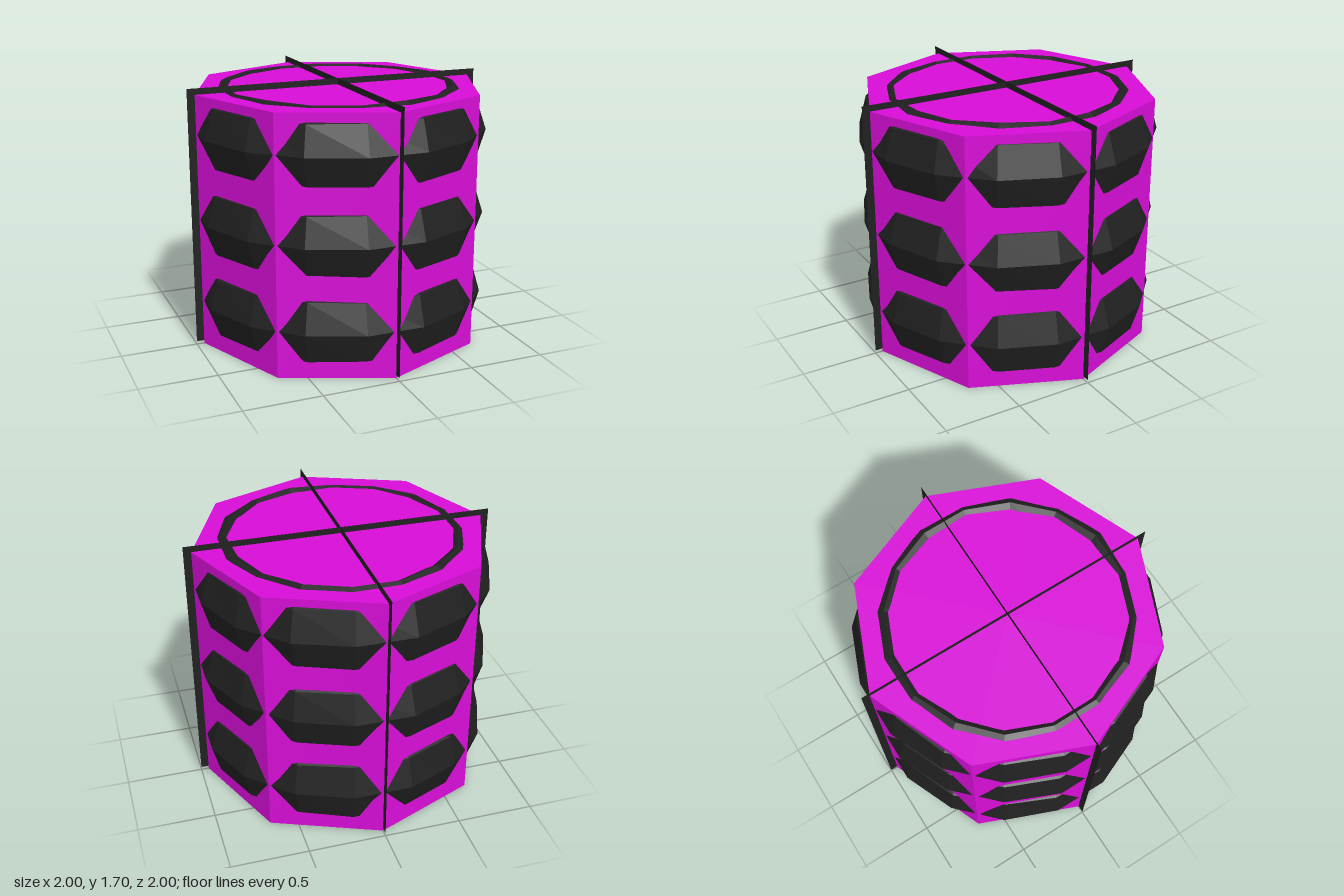
import * as THREE from 'three';

const SEGMENTS = 16;

// repeatable noise in -1..1
function makeNoise(seed) {
  let s = seed;
  return () => {
    s = (s * 16807) % 2147483647;
    return (s / 2147483647) * 2 - 1;
  };
}

// faceted, slightly uneven ring with an eight-sided section
function ringGeometry(seed) {
  const section = [
    [0.905, -0.19], [0.964, 0], [0.905, 0.19], [0.745, 0.268],
    [0.6, 0.19], [0.54, 0], [0.6, -0.19], [0.745, -0.268], [0.905, -0.19],
  ].map(([r, y]) => new THREE.Vector2(r, y));
  const geometry = new THREE.LatheGeometry(section, SEGMENTS, Math.PI / SEGMENTS);
  const count = section.length;
  const sides = count - 1;
  const noise = makeNoise(seed);
  const offsets = Array.from({ length: SEGMENTS * sides }, () => [noise(), noise()]);
  const position = geometry.attributes.position;
  for (let i = 0; i < position.count; i++) {
    // shared corners get the same offset so the ring stays closed
    const ring = Math.floor(i / count) % SEGMENTS;
    const side = (i % count) % sides;
    const [a, b] = offsets[ring * sides + side];
    const radial = 1 + a * (side === 1 ? 0.004 : 0.009);
    const lift = side === 1 ? 0 : b * 0.006;
    position.setXYZ(i, position.getX(i) * radial, position.getY(i) + lift, position.getZ(i) * radial);
  }
  const flat = geometry.toNonIndexed();
  flat.computeVertexNormals();
  return flat;
}

export function createModel() {
  const model = new THREE.Group();
  model.name = 'bandedDrum';

  const magenta = new THREE.MeshStandardMaterial({ color: 0xd80ed8 });
  magenta.name = 'magenta';
  const black = new THREE.MeshStandardMaterial({ color: 0x202020, side: THREE.DoubleSide });
  black.name = 'black';

  function add(name, geometry, material, y) {
    const mesh = new THREE.Mesh(geometry, material);
    mesh.name = name;
    mesh.position.y = y;
    model.add(mesh);
    return mesh;
  }

  // octagonal body with a corner facing front
  const body = new THREE.CylinderGeometry(0.95, 0.95, 1.66, 8).toNonIndexed();
  body.computeVertexNormals();
  add('body', body, magenta, 0.83);

  // three bands bulging out through the faces
  [0.305, 0.855, 1.408].forEach((y, i) => add(`band${i + 1}`, ringGeometry(1234567 + i * 7654321), black, y));

  // two crossed sheets showing as thin seams along the corners and top
  for (let i = 0; i < 2; i++) {
    const sheet = add(`crossSheet${i + 1}`, new THREE.PlaneGeometry(2, 1.68), black, 0.86);
    sheet.rotation.y = (i * Math.PI) / 2;
  }

  return model;
}
